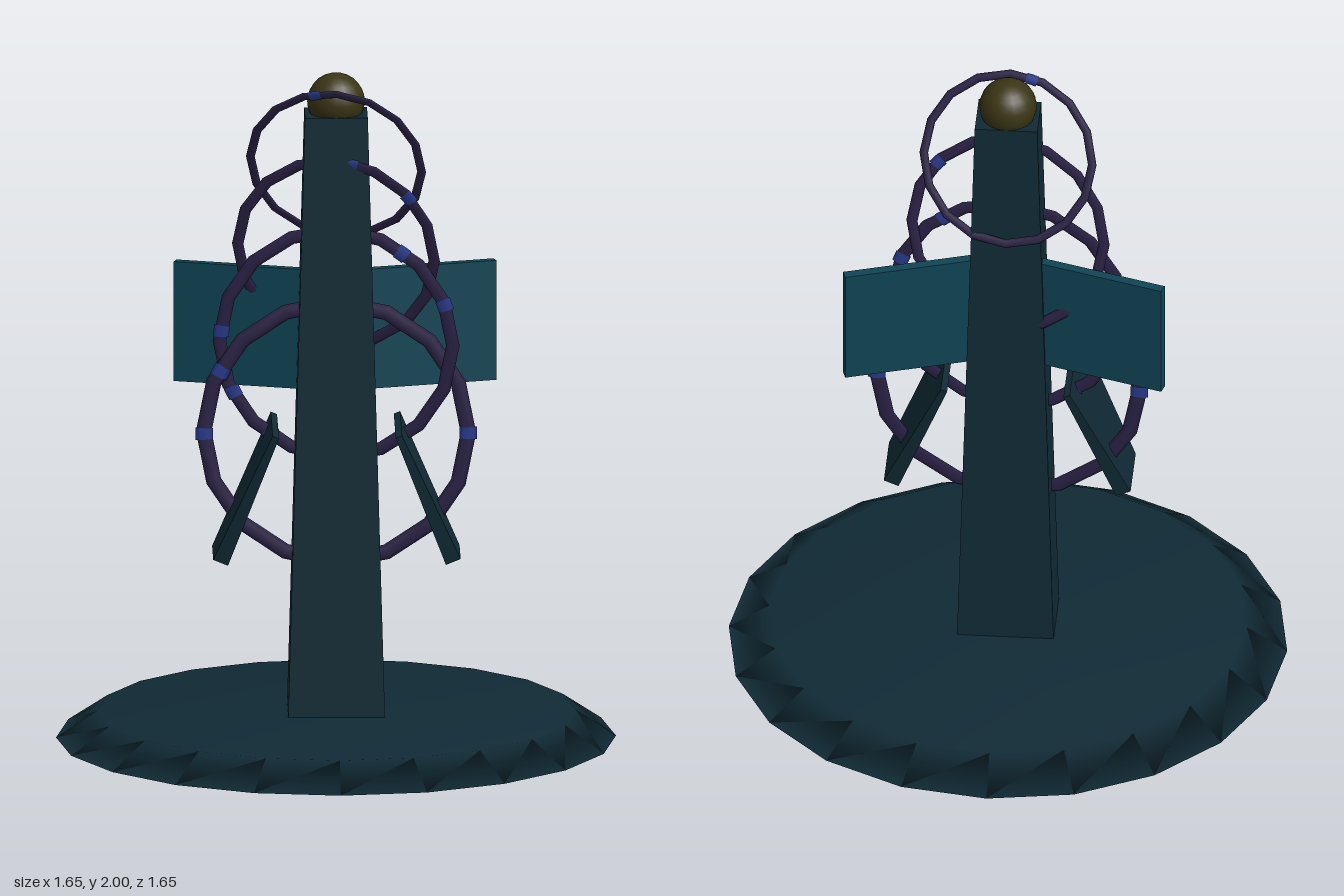
import * as THREE from 'three';
import { mergeVertices } from 'three/addons/utils/BufferGeometryUtils.js';

const material = (name, color) => {
  const m = new THREE.MeshStandardMaterial({ color });
  m.name = name;
  return m;
};

// Box whose top and bottom ends have their own width and depth
function taperedBox(topW, topD, bottomW, bottomD, height) {
  const g = new THREE.BoxGeometry(1, height, 1);
  const p = g.attributes.position;
  for (let i = 0; i < p.count; i++) {
    const top = p.getY(i) > 0;
    p.setX(i, p.getX(i) * (top ? topW : bottomW));
    p.setZ(i, p.getZ(i) * (top ? topD : bottomD));
  }
  g.computeVertexNormals();
  return g;
}

export function createModel() {
  const model = new THREE.Group();
  const slate = material('dark slate', 0x102a35);
  const teal = material('deep teal', 0x0f4454);
  const olive = material('dark olive', 0x3a3514);
  const purple = material('dusk purple', 0x2a2145);
  const blue = material('band blue', 0x283a8c);

  const add = (parent, name, geometry, mat, x = 0, y = 0, z = 0) => {
    const mesh = new THREE.Mesh(geometry, mat);
    mesh.name = name;
    mesh.position.set(x, y, z);
    parent.add(mesh);
    return mesh;
  };

  // Base: bevelled disc with soft normals across its edges
  let disc = new THREE.CylinderGeometry(0.705, 0.825, 0.08, 20);
  disc.deleteAttribute('normal');
  disc.deleteAttribute('uv');
  disc = mergeVertices(disc);
  disc.computeVertexNormals();
  add(model, 'base', disc, slate, 0, 0.04, 0);

  // Tapered column and the ball on top
  add(model, 'column', taperedBox(0.185, 0.155, 0.285, 0.21, 1.8), slate, 0, 0.98, 0);
  add(model, 'topBall', new THREE.SphereGeometry(0.085, 20, 14), olive, 0, 1.915, 0);

  // Swept-back panels and hanging fins on both sides
  for (const [side, s] of [['left', 1], ['right', -1]]) {
    const panel = add(model, side + 'Panel', new THREE.BoxGeometry(0.39, 0.36, 0.03), teal,
      s * 0.285, 1.22, -0.11);
    panel.rotation.y = s * 0.305;

    const fin = add(model, side + 'Fin', taperedBox(0.02, 0.345, 0.047, 0.195, 0.425), slate,
      s * 0.262, 0.757, 0.0675);
    fin.rotation.z = s * 0.39;
  }

  // Flat rings around the column: height, radius, half width, tilt, turn, depth, band angles
  const rings = [
    [1.725, 0.255, 0.013, 0.42, -0.16, 0, [105]],
    [1.46, 0.295, 0.017, 0.23, -0.21, 0, [42, 81]],
    [1.19, 0.345, 0.02, 0.05, -0.1, 0.02, [21, 55, 175, 207, 235]],
    [0.92, 0.39, 0.023, 0, -0.04, 0.01, [0, 152, 181]],
  ];
  rings.forEach(([y, radius, tube, tilt, turn, z, bands], i) => {
    const ring = new THREE.Group();
    ring.name = 'ring' + (i + 1);
    ring.position.set(0, y, z);
    ring.rotation.set(tilt, turn, 0);
    ring.scale.z = 0.3;
    add(ring, 'ringBody', new THREE.TorusGeometry(radius, tube, 6, 16), purple);
    // Short collars along the ring
    const arc = 0.035 / radius;
    for (const degrees of bands) {
      const a = THREE.MathUtils.degToRad(degrees);
      // Distance of the 16-sided ring's centreline at this angle
      const step = Math.PI / 8;
      const off = a - (Math.floor(a / step) + 0.5) * step;
      const r = radius * Math.cos(step / 2) / Math.cos(off);
      const band = add(ring, 'ringBand', new THREE.TorusGeometry(r, tube + 0.003, 6, 2, arc), blue);
      band.rotation.z = a - arc / 2;
    }
    model.add(ring);
  });

  return model;
}
